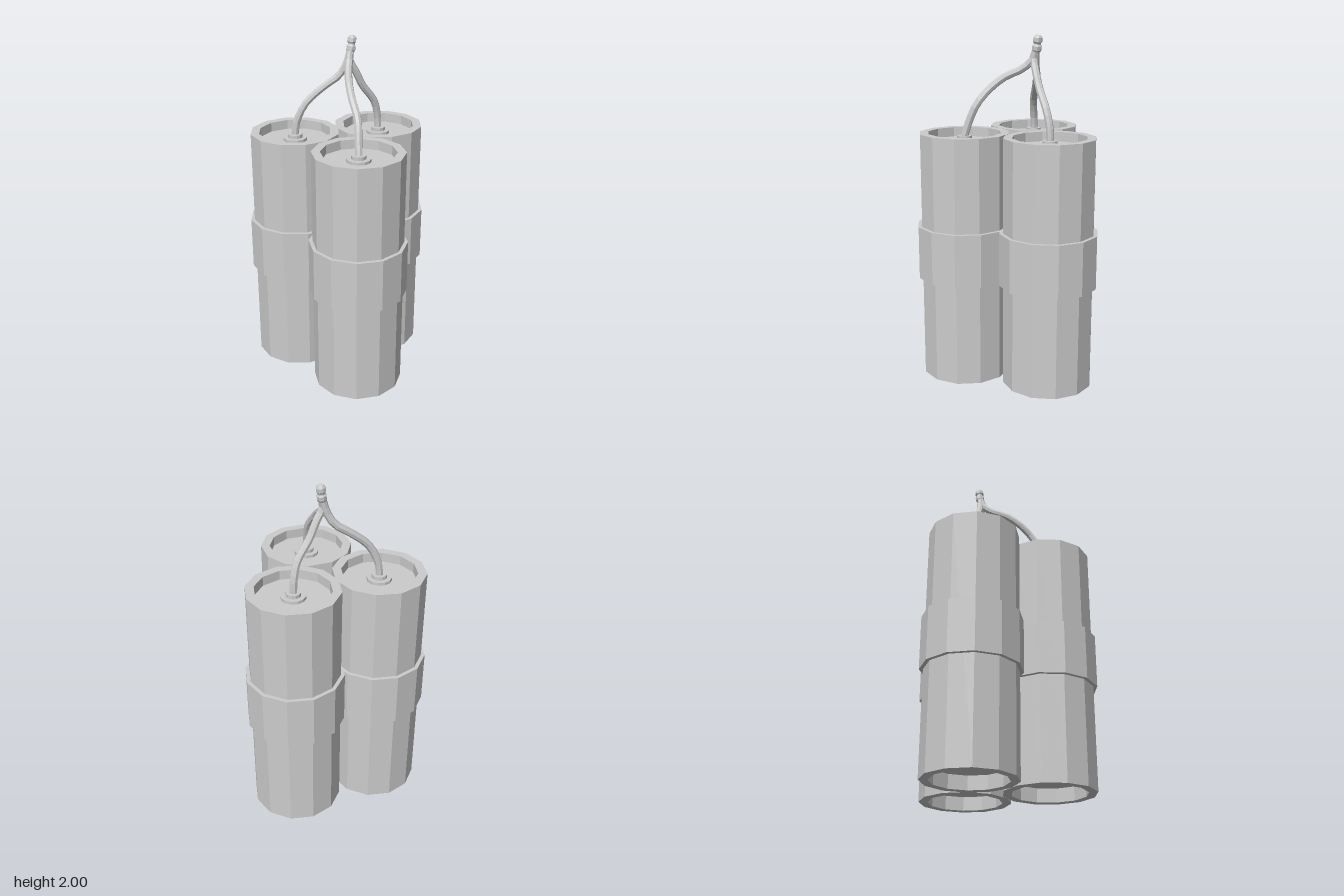
import * as THREE from 'three';

const material = new THREE.MeshStandardMaterial({ color: 0xcccccc, flatShading: true });

const points = (list) => list.map(([x, y]) => new THREE.Vector2(x, y));

function add(parent, name, geometry) {
  const mesh = new THREE.Mesh(geometry, material);
  mesh.name = name;
  parent.add(mesh);
  return mesh;
}

// Profiles run from the bottom axis outwards and up to the top axis
const CASING = points([
  [0, 0.08], [0.213, 0.08], [0.213, 0], [0.263, 0],
  [0.263, 1.45], [0.213, 1.45], [0.213, 1.395], [0, 1.395],
]);
const BAND = points([[0.255, 0.6], [0.285, 0.6], [0.285, 0.91], [0.255, 0.91]]);
const COLLAR = points([
  [0.07, 1.39], [0.07, 1.412], [0.043, 1.412], [0.043, 1.432], [0, 1.432],
]);
const TIP = points([
  [0, -0.05], [0.022, -0.045], [0.027, -0.035], [0.027, -0.012], [0.021, -0.003],
  [0.021, 0.003], [0.027, 0.012], [0.025, 0.035], [0.016, 0.047], [0, 0.05],
]);

// Cylinder position, facet turn, and path of the fuse that leaves it
const STICKS = [
  {
    name: 'backRight', x: -0.255, z: -0.225, turn: 0,
    fuse: [[-0.255, 1.41, -0.227], [-0.245, 1.5, -0.224], [-0.19, 1.615, -0.212],
      [-0.08, 1.71, -0.205], [0.005, 1.77, -0.193], [0.045, 1.84, -0.178], [0.065, 1.91, -0.175]],
  },
  {
    name: 'backLeft', x: 0.255, z: -0.225, turn: 0,
    fuse: [[0.255, 1.41, -0.227], [0.25, 1.5, -0.224], [0.222, 1.6, -0.208],
      [0.14, 1.71, -0.184], [0.1, 1.79, -0.172], [0.06, 1.86, -0.167], [0.065, 1.91, -0.175]],
  },
  {
    name: 'front', x: 0, z: 0.225, turn: THREE.MathUtils.degToRad(12),
    fuse: [[0, 1.41, 0.23], [0.005, 1.5, 0.203], [0.014, 1.61, 0.155], [0.005, 1.7, 0.075],
      [0.012, 1.765, -0.01], [0.035, 1.81, -0.105], [0.055, 1.86, -0.158], [0.065, 1.91, -0.175]],
  },
];

export function createModel() {
  const model = new THREE.Group();
  model.name = 'cylinderBundle';

  for (const { name, x, z, turn, fuse } of STICKS) {
    const stick = new THREE.Group();
    stick.name = `${name}Stick`;
    stick.position.set(x, 0, z);
    stick.rotation.y = turn;
    model.add(stick);

    // Twelve-sided casing with recessed ends, its band, and the stepped fuse collar
    add(stick, 'casing', new THREE.LatheGeometry(CASING, 12));
    add(stick, 'band', new THREE.LatheGeometry(BAND, 12));
    add(stick, 'collar', new THREE.LatheGeometry(COLLAR, 12));

    // Bent fuse meeting the others at the tip
    const path = new THREE.CatmullRomCurve3(fuse.map((p) => new THREE.Vector3(...p)));
    add(model, `${name}Fuse`, new THREE.TubeGeometry(path, 14, 0.022, 8));
  }

  // Two-lobed knot where the fuses join
  const tip = add(model, 'fuseTip', new THREE.LatheGeometry(TIP, 8));
  tip.position.set(0.075, 1.95, -0.182);
  tip.rotation.set(-0.08, 0, -0.14);

  return model;
}
